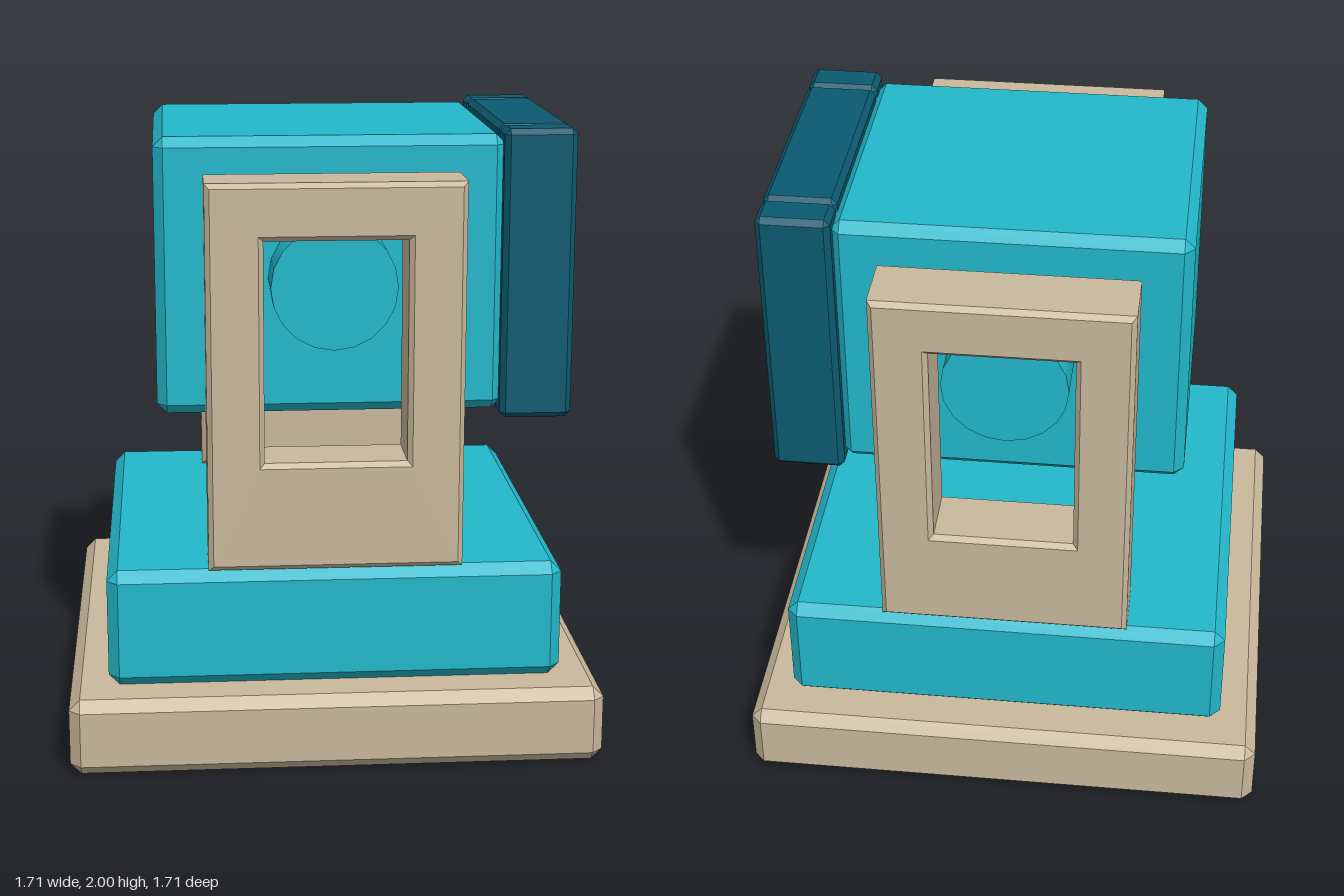
import * as THREE from 'three';
import { ConvexGeometry } from 'three/addons/geometries/ConvexGeometry.js';

const mat = (name, color) => {
  const m = new THREE.MeshStandardMaterial({ color });
  m.name = name;
  return m;
};

// Box with chamfered edges, given by its min and max corners
function chamferBox(min, max, c) {
  const h = min.map((v, i) => (max[i] - v) / 2);
  const pts = [];
  for (const sx of [-1, 1]) for (const sy of [-1, 1]) for (const sz of [-1, 1])
    for (let full = 0; full < 3; full++) {
      const p = [sx, sy, sz].map((s, i) => s * (i === full ? h[i] : h[i] - c));
      pts.push(new THREE.Vector3(...p));
    }
  const g = new ConvexGeometry(pts);
  g.translate(...min.map((v, i) => (v + max[i]) / 2));
  return g;
}

const rect = (path, x, y0, y1) =>
  path.moveTo(-x, y0).lineTo(x, y0).lineTo(x, y1).lineTo(-x, y1).closePath();

export function createModel() {
  const tan = mat('tan', 0xc9b99c);
  const teal = mat('turquoise', 0x22b8cb);
  const dark = mat('deepBlue', 0x0b5a70);
  const model = new THREE.Group();
  model.name = 'swivelLamp';
  const add = (name, geometry, material, parent = model) => {
    const m = new THREE.Mesh(geometry, material);
    m.name = name;
    parent.add(m);
    return m;
  };

  // Stacked base
  add('base', chamferBox([-0.855, 0, -0.855], [0.855, 0.25, 0.855], 0.035), tan);
  add('turntable', chamferBox([-0.73, 0.25, -0.73], [0.73, 0.635, 0.73], 0.035), teal);

  // Upright brackets with a window, front and back
  const shape = rect(new THREE.Shape(), 0.405, 0.635, 1.87);
  shape.holes.push(rect(new THREE.Path(), 0.225, 0.985, 1.69));
  const b = 0.016;
  const bracket = new THREE.ExtrudeGeometry(shape, {
    depth: 0.225 - 2 * b, bevelEnabled: true, bevelThickness: b,
    bevelSize: b, bevelOffset: -b, bevelSegments: 1,
  });
  bracket.translate(0, 0, b);
  add('frontBracket', bracket, tan).position.z = 0.505;
  add('backBracket', bracket, tan).position.z = -0.73;

  // Tilting head on its axle
  const head = new THREE.Group();
  head.name = 'head';
  model.add(head);
  add('housing', chamferBox([-0.56, 1.085, -0.48], [0.56, 1.98, 0.48], 0.032), teal, head);
  const axle = new THREE.CylinderGeometry(0.2, 0.2, 1.3, 20);
  axle.rotateX(Math.PI / 2);
  add('axle', axle, teal, head).position.y = 1.53;

  // Frame around the lens
  add('lensPanel', new THREE.BoxGeometry(0.06, 0.8, 0.8), dark, head).position.set(0.575, 1.53, 0);
  for (const s of [-1, 1]) {
    const z = [s * 0.375, s * 0.505].sort((p, q) => p - q);
    add(s > 0 ? 'frontFramePost' : 'backFramePost',
      chamferBox([0.55, 1.06, z[0]], [0.783, 2, z[1]], 0.018), dark, head);
    const y = 1.53 + s * 0.405;
    add(s > 0 ? 'topFrameBar' : 'bottomFrameBar',
      chamferBox([0.55, y - 0.065, -0.375], [0.783, y + 0.065, 0.375], 0.018), dark, head);
  }

  // Stepped lens
  for (const [name, r, x] of [['lensRim', 0.325, 0.66], ['lens', 0.25, 0.685]]) {
    const g = new THREE.CylinderGeometry(r, r, x - 0.58, 18);
    g.rotateZ(-Math.PI / 2);
    add(name, g, teal, head).position.set((x + 0.58) / 2, 1.53, 0);
  }
  return model;
}
